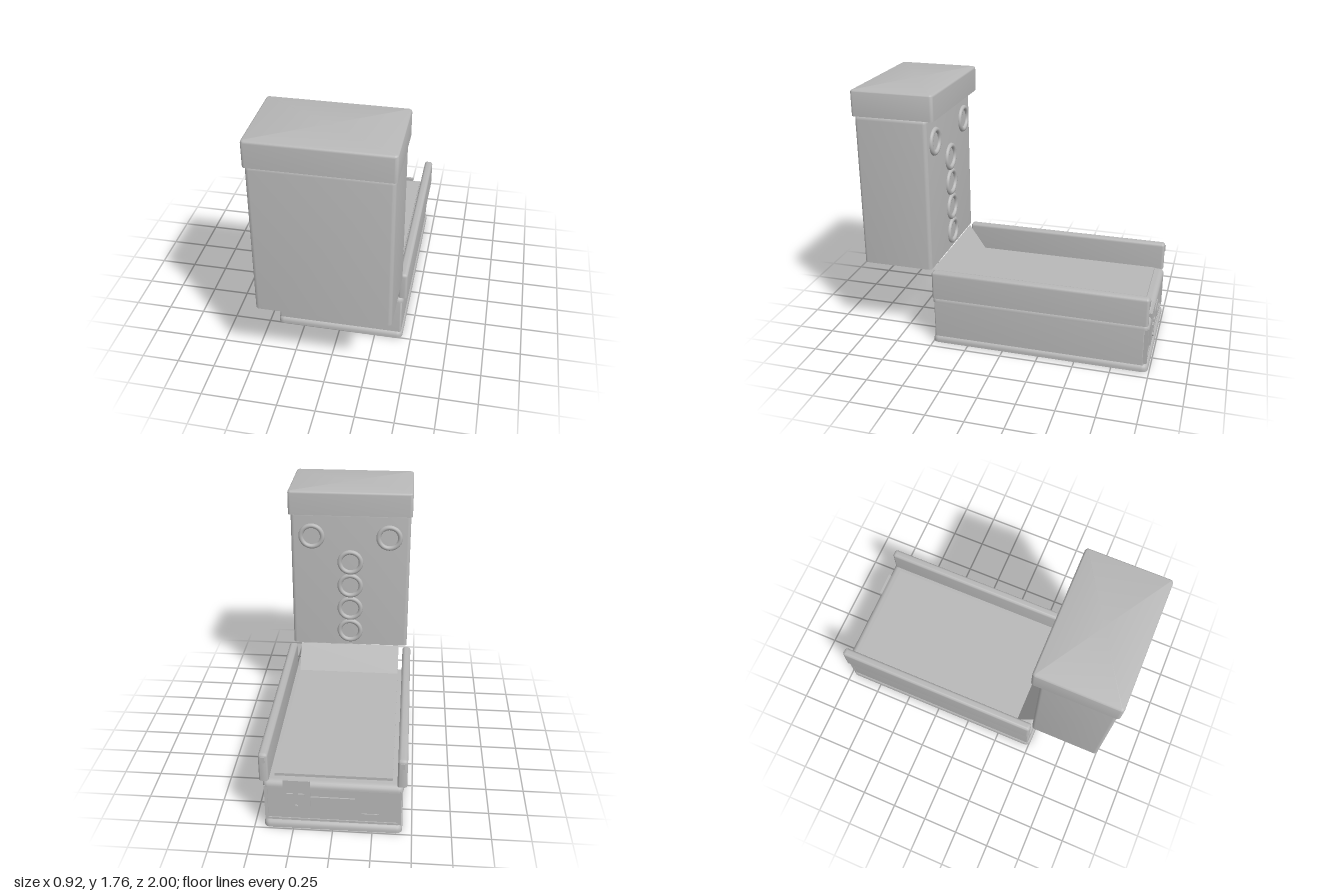
import * as THREE from 'three';
import { toCreasedNormals } from 'three/addons/utils/BufferGeometryUtils.js';

const grey = new THREE.MeshStandardMaterial({ color: 0xb8b8b8 });
grey.name = 'grey';
const greySheet = new THREE.MeshStandardMaterial({ color: 0xb8b8b8, side: THREE.DoubleSide });
greySheet.name = 'grey';

const STEPS = 5; // segments per rounded corner

// Counter-clockwise rounded rectangle outline (seen from above, x/-z).
function outline(hw, hd, r) {
  const pts = [];
  const corners = [[1, 1], [-1, 1], [-1, -1], [1, -1]];
  corners.forEach(([sx, sz], q) => {
    for (let i = 0; i <= STEPS; i++) {
      const a = (q + i / STEPS) * Math.PI / 2;
      pts.push([sx * (hw - r) + r * Math.cos(a), -(sz * (hd - r) + r * Math.sin(a))]);
    }
  });
  return pts;
}

// Block with rounded upright edges, rounded top rim and a flat bottom.
function block(x0, x1, y0, y1, z0, z1, r, rim = r) {
  const hw = (x1 - x0) / 2, hd = (z1 - z0) / 2;
  const cx = (x0 + x1) / 2, cz = (z0 + z1) / 2;
  const sections = [[0, y0]];
  for (let i = 0; i <= STEPS; i++) {
    const a = i / STEPS * Math.PI / 2;
    sections.push([rim * (1 - Math.cos(a)), y1 - rim + rim * Math.sin(a)]);
  }
  const loops = sections.map(([inset, y]) =>
    outline(hw - inset, hd - inset, Math.max(r - inset, 0.002)).map(([x, z]) => [x + cx, y, z + cz]));
  const pos = [];
  const tri = (a, b, c) => pos.push(...a, ...b, ...c);
  const n = loops[0].length;
  for (let i = 0; i < n; i++) {
    const j = (i + 1) % n;
    for (let k = 0; k < loops.length - 1; k++) {
      const lo = loops[k], hi = loops[k + 1];
      tri(lo[i], lo[j], hi[j]);
      tri(lo[i], hi[j], hi[i]);
    }
    const top = loops[loops.length - 1];
    tri([cx, y1, cz], top[i], top[j]);
    tri([cx, y0, cz], loops[0][j], loops[0][i]);
  }
  const g = new THREE.BufferGeometry();
  g.setAttribute('position', new THREE.Float32BufferAttribute(pos, 3));
  return toCreasedNormals(g, 0.6);
}

function box(x0, x1, y0, y1, z0, z1) {
  return new THREE.BoxGeometry(x1 - x0, y1 - y0, z1 - z0)
    .translate((x0 + x1) / 2, (y0 + y1) / 2, (z0 + z1) / 2);
}

export function createModel() {
  const model = new THREE.Group();
  model.name = 'arcadeTable';
  const add = (name, geometry, material = grey) => {
    const mesh = new THREE.Mesh(geometry, material);
    mesh.name = name;
    model.add(mesh);
    return mesh;
  };

  // Cabinet
  add('plinth', block(-0.44, 0.44, 0, 0.05, -0.99, 0.505, 0.04, 0.035));
  add('cabinet', block(-0.43, 0.43, 0.045, 0.32, -0.962, 0.49, 0.012, 0.004));
  add('cabinetLip', block(-0.44, 0.44, 0.31, 0.355, -0.985, 0.5, 0.035, 0.038));

  // Table top and the sloped sheet rising to the tower
  add('tableTop', box(-0.37, 0.37, 0.35, 0.374, -0.92, 0.37));
  const slope = new THREE.PlaneGeometry(0.74, Math.hypot(0.12, 0.175));
  slope.rotateX(Math.atan2(0.12, 0.175)).translate(0, 0.4625, 0.43);
  add('slopedPanel', slope, greySheet);

  // Side rails with small latches at the rear ends
  for (const [side, s] of [['left', 1], ['right', -1]]) {
    const [a, b] = s > 0 ? [0.4, 0.46] : [-0.46, -0.4];
    add(side + 'Rail', block(a, b, 0.352, 0.55, -0.978, 0.49, 0.018, 0.022));
    add(side + 'RailLatch', box(s * 0.43 - 0.012, s * 0.43 + 0.012, 0.49, 0.53, -0.984, -0.97));
    add(side + 'RearPost', box(s * 0.42 - 0.01, s * 0.42 + 0.01, 0.06, 0.32, -0.982, -0.955));
  }

  // Rear panel and its fittings
  add('rearPanel', box(-0.41, 0.41, 0.07, 0.31, -0.972, -0.95));
  add('rearFrameTop', box(-0.41, 0.41, 0.295, 0.31, -0.978, -0.97));
  add('rearFrameBottom', box(-0.41, 0.41, 0.055, 0.07, -0.978, -0.96));
  add('lockPlate', box(0.14, 0.31, 0.13, 0.37, -0.988, -0.97));
  for (const x of [0.195, 0.265]) add('lockSlot', box(x - 0.02, x + 0.02, 0.255, 0.275, -0.996, -0.985));
  const knob = new THREE.CylinderGeometry(0.014, 0.014, 0.014, 16);
  knob.rotateX(Math.PI / 2).translate(0.23, 0.175, -0.99);
  add('lockKnob', knob);
  add('drawerSlot', box(-0.14, 0.14, 0.18, 0.245, -0.981, -0.97));
  add('smallPlate', box(-0.29, -0.18, 0.085, 0.13, -0.978, -0.97));

  // Tower and its cap
  add('tower', block(-0.43, 0.43, 0.55, 1.595, 0.495, 0.985, 0.025, 0.03));
  add('towerCap', block(-0.44, 0.44, 1.59, 1.762, 0.44, 1.0, 0.022, 0.018));

  // Rings on the tower's rear face
  const ring = new THREE.TorusGeometry(0.078, 0.017, 12, 40);
  const spots = [[0.28, 1.415], [-0.28, 1.415]];
  for (let i = 0; i < 4; i++) spots.push([0, 0.668 + i * 0.184]);
  for (const [x, y] of spots) add('ring', ring).position.set(x, y, 0.493);

  return model;
}
